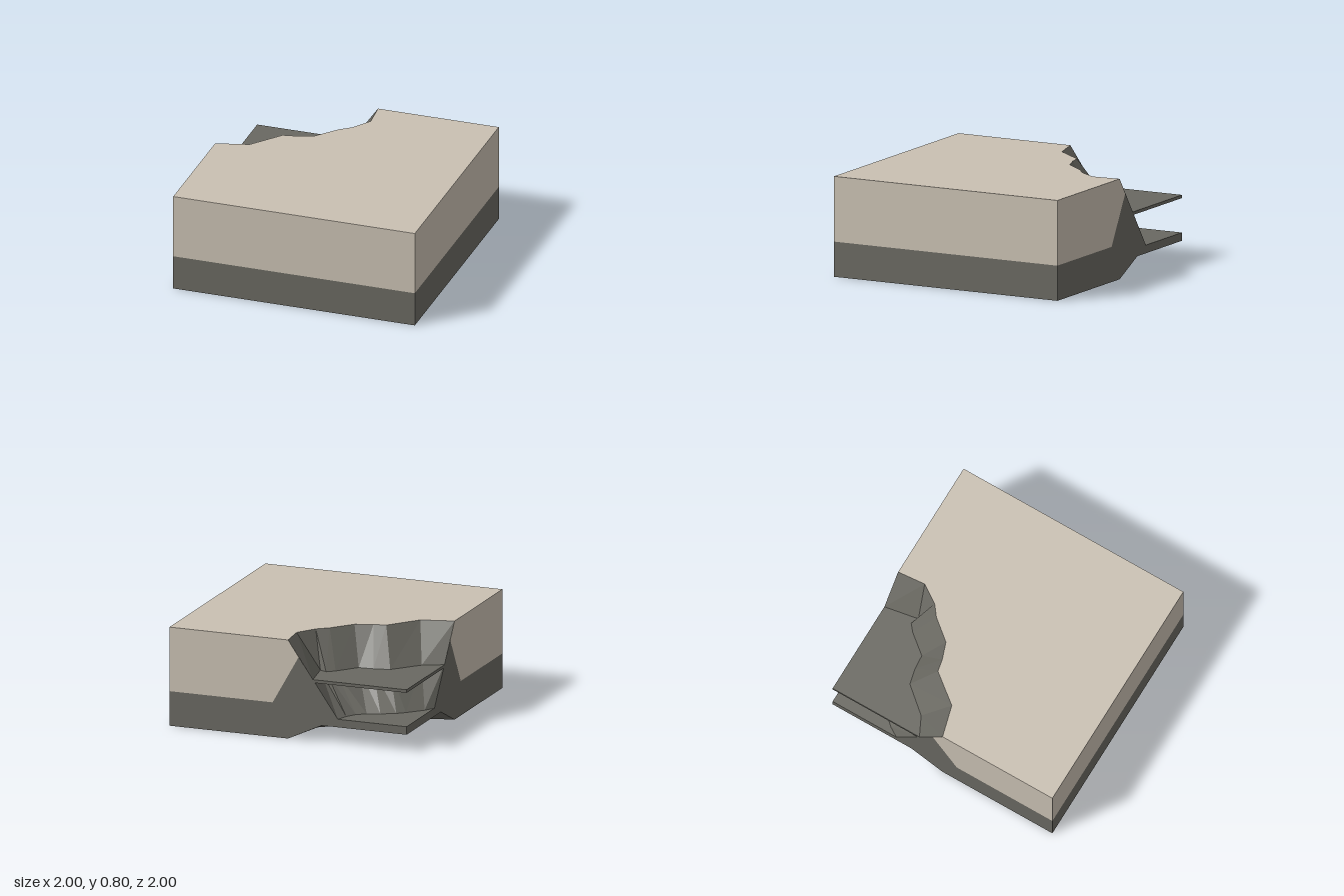
import * as THREE from 'three';

// Outlines of the broken corner, as [x, z] from the left edge to the back edge
const rim = [[-1, 0], [-0.74, -0.07], [-0.55, -0.31], [-0.45, -0.33], [-0.31, -0.38],
  [-0.17, -0.55], [-0.08, -0.62], [0.02, -0.77], [0, -1]];
const middle = [[-1, -0.21], [-0.84, -0.29], [-0.66, -0.5], [-0.53, -0.53], [-0.41, -0.54],
  [-0.28, -0.7], [-0.22, -0.75], [-0.16, -0.72], [-0.21, -1]];
const apex = [[-1, -0.42], [-0.95, -0.5], [-0.84, -0.62], [-0.78, -0.67], [-0.67, -0.73],
  [-0.57, -0.77], [-0.5, -0.82], [-0.45, -0.9], [-0.42, -1]];

const shapeOf = (pts) => new THREE.Shape(pts.map(([a, b]) => new THREE.Vector2(a, b)));
const planShape = (pts) => shapeOf(pts.map(([x, z]) => [x, -z]));

// Faceted wall lofted through outlines at several heights
function loft(levels) {
  const pos = [];
  for (let l = 0; l < levels.length - 1; l++) {
    const [y0, low] = levels[l];
    const [y1, high] = levels[l + 1];
    for (let i = 0; i < low.length - 1; i++) {
      const a = [low[i][0], y0, low[i][1]];
      const b = [low[i + 1][0], y0, low[i + 1][1]];
      const c = [high[i + 1][0], y1, high[i + 1][1]];
      const d = [high[i][0], y1, high[i][1]];
      pos.push(...a, ...d, ...b, ...b, ...d, ...c);
    }
  }
  const geo = new THREE.BufferGeometry();
  geo.setAttribute('position', new THREE.Float32BufferAttribute(pos, 3));
  geo.computeVertexNormals();
  return geo;
}

export function createModel() {
  const group = new THREE.Group();
  const plaster = new THREE.MeshStandardMaterial({ color: 0xc9c0b2, side: THREE.DoubleSide });
  plaster.name = 'pale surface';
  const stone = new THREE.MeshStandardMaterial({ color: 0x696861, side: THREE.DoubleSide });
  stone.name = 'dark stone';

  const add = (name, geo, mat) => {
    const mesh = new THREE.Mesh(geo, mat);
    mesh.name = name;
    group.add(mesh);
    return mesh;
  };

  // Top surface with the corner bitten out
  add('topSurface', new THREE.ShapeGeometry(planShape([...rim, [1, -1], [1, 1], [-1, 1]]))
    .rotateX(-Math.PI / 2).translate(0, 0.8, 0), plaster);

  // Side faces: pale band above, dark band below
  const band = (y0, y1) => [[-1, y0], [1, y0], [1, y1], [-1, y1]];
  const brokenPale = [[-1, 0.28], [-0.13, 0.28], [0.09, 0.67], [0, 0.8], [-1, 0.8]];
  const brokenDark = [[-1, 0], [0, 0], [0.42, 0.2], [0.21, 0.5], [0.09, 0.67],
    [-0.13, 0.28], [-1, 0.28]];
  const mirror = (pts) => pts.map(([s, y]) => [-s, y]);
  const sides = [
    ['front', 0, band(0.28, 0.8), band(0, 0.28)],
    ['plusX', Math.PI / 2, band(0.28, 0.8), band(0, 0.28)],
    ['back', Math.PI, brokenPale, brokenDark],
    ['minusX', -Math.PI / 2, mirror(brokenPale), mirror(brokenDark)],
  ];
  for (const [name, angle, pale, dark] of sides) {
    const face = (pts) => new THREE.ShapeGeometry(shapeOf(pts)).translate(0, 0, 1).rotateY(angle);
    add(name + 'UpperFace', face(pale), plaster);
    add(name + 'LowerFace', face(dark), stone);
  }

  // Jagged wall of the broken corner
  add('brokenWall', loft([[0, rim], [0.2, apex], [0.5, middle], [0.8, rim]]), stone);

  // Thin upper ledge in the corner
  add('upperLedge', new THREE.ExtrudeGeometry(planShape([...middle, [-1, -1]]),
    { depth: 0.025, bevelEnabled: false }).rotateX(-Math.PI / 2).translate(0, 0.475, 0), stone);

  // Floor slab, recessed above the open underside
  add('floorSlab', new THREE.BoxGeometry(2, 0.065, 2).translate(0, 0.1675, 0), stone);

  return group;
}
